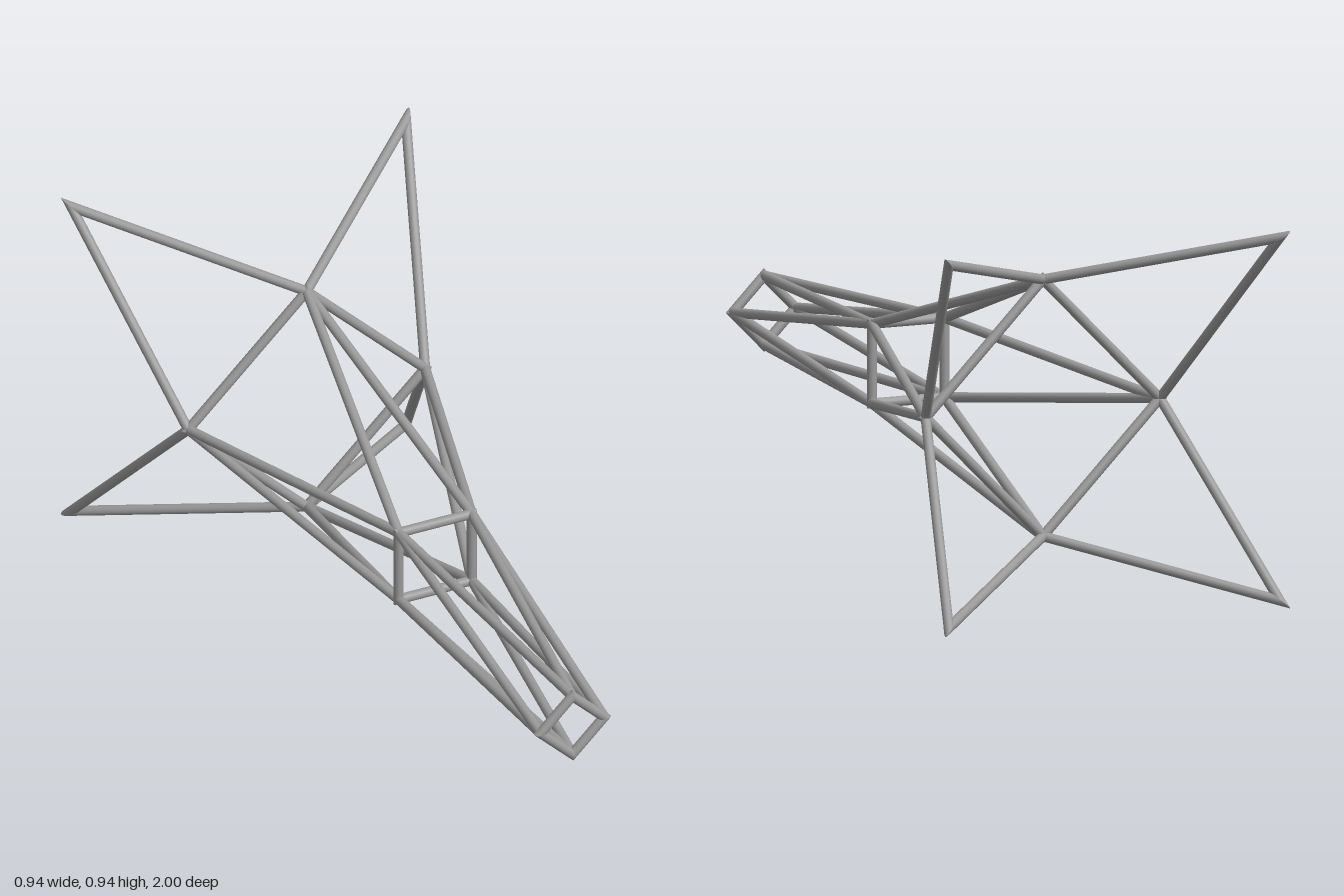
import * as THREE from 'three';

const R = 0.0125; // strut radius
const CY = 0.472; // height of the long axis
const SIDES = 16;

const metal = new THREE.MeshStandardMaterial({ color: 0x999999 });

// Four points around the long axis, starting at a given angle
function ring(radius, z, start) {
  return [0, 1, 2, 3].map((i) => {
    const a = start + (i * Math.PI) / 2;
    return new THREE.Vector3(radius * Math.cos(a), CY + radius * Math.sin(a), z);
  });
}

// Smooth round bar from a to b; its ends are cut along planes through a and b
function strut(a, b, normalA, normalB) {
  const dir = b.clone().sub(a).normalize();
  const geo = new THREE.CylinderGeometry(R, R, a.distanceTo(b), SIDES);
  geo.applyQuaternion(new THREE.Quaternion().setFromUnitVectors(new THREE.Vector3(0, 1, 0), dir));
  const mid = a.clone().add(b).multiplyScalar(0.5);
  geo.translate(mid.x, mid.y, mid.z);
  const pos = geo.attributes.position;
  const p = new THREE.Vector3();
  for (let i = 0; i < pos.count; i++) {
    p.fromBufferAttribute(pos, i);
    const atB = p.clone().sub(mid).dot(dir) > 0;
    const n = (atB ? normalB : normalA) || dir;
    const t = (atB ? b : a).clone().sub(p).dot(n) / dir.dot(n);
    p.addScaledVector(dir, t);
    pos.setXYZ(i, p.x, p.y, p.z);
  }
  return new THREE.Mesh(geo, metal);
}

// Closed loop of bars, mitred at the corners when asked
function frame(name, pts, mitred) {
  const group = new THREE.Group();
  group.name = name;
  const count = pts.length;
  const dirs = pts.map((p, i) => pts[(i + 1) % count].clone().sub(p).normalize());
  const normals = pts.map((p, i) => dirs[i].clone().add(dirs[(i + count - 1) % count]));
  pts.forEach((p, i) => {
    const j = (i + 1) % count;
    const bar = mitred ? strut(p, pts[j], normals[i], normals[j]) : strut(p, pts[j]);
    bar.name = name + 'Strut' + (i + 1);
    group.add(bar);
  });
  return group;
}

// Alternates the points of two rings into one zigzag loop
const zigzag = (a, b) => a.flatMap((p, i) => [p, b[i]]);

export function createModel() {
  const model = new THREE.Group();
  model.name = 'spaceFrame';

  const nose = ring(0.086, 0.987, 0);
  const waist = ring(0.099 * Math.SQRT2, 0.18, Math.PI / 4);
  const rear = ring(0.32, -0.575, 0);
  const tips = ring(0.452 * Math.SQRT2, -0.975, Math.PI / 4);

  // Cross frames
  model.add(frame('noseFrame', nose, true));
  model.add(frame('waistFrame', waist, true));
  model.add(frame('rearFrame', rear, true));
  // Long struts between the cross frames
  model.add(frame('forwardBracing', zigzag(nose, waist), false));
  model.add(frame('rearBracing', zigzag(rear, waist), false));
  // Four pointed fins
  model.add(frame('tailFins', zigzag(rear, tips), true));

  return model;
}
